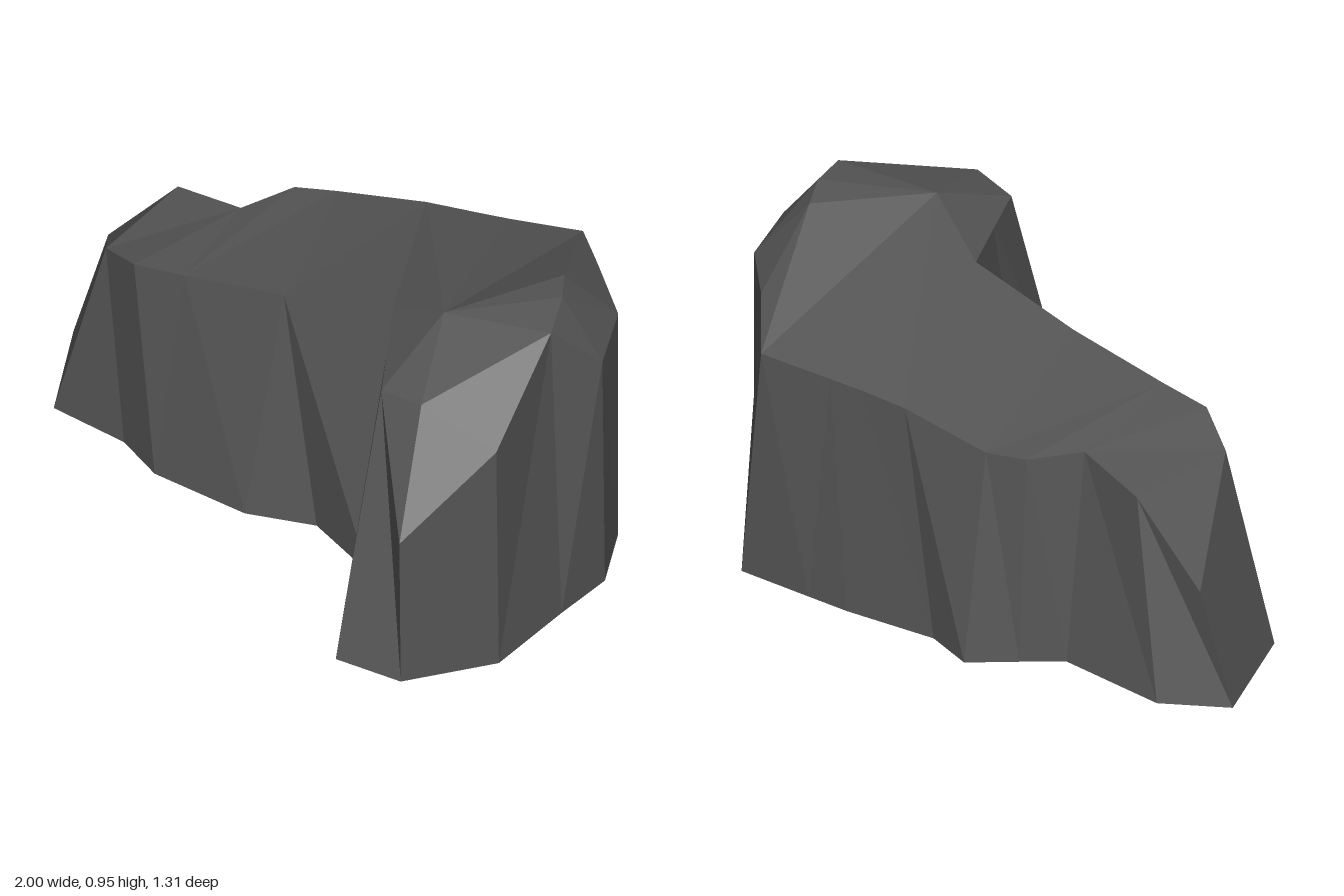
import * as THREE from 'three';

// Foot outline [x, z], counter-clockwise seen from above, starting at the low tip
const FOOT = [
  [-1, .02], [-.78, .33], [-.52, .31], [-.35, .36], [-.03, .32], [.16, .22],
  [.42, .28], [.54, .42], [.65, .65], [.86, .6], [1, .34], [.96, .04],
  [.94, -.16], [.81, -.35], [.6, -.49], [.45, -.66], [.22, -.59], [.09, -.55],
  [-.18, -.44], [-.34, -.45], [-.43, -.32], [-.51, -.21], [-.85, -.14],
];

// Shoulder outline [x, y, z], one point above each foot point
const SHOULDER = [
  [-.91, .36, -.03], [-.64, .6, .26], [-.48, .65, .31], [-.32, .67, .27], [0, .72, .19], [0, .72, .19],
  [.35, .81, .1], [.48, .805, .26], [.6, .8, .41], [.86, .49, .605], [.98, .73, .33], [.88, .93, 0],
  [.94, .78, -.15], [.81, .78, -.35], [.6, .79, -.48], [.41, .73, -.62], [.2, .715, -.53], [.1, .71, -.49],
  [-.04, .7, -.44], [-.31, .65, -.35], [-.41, .65, -.28], [-.46, .64, -.11], [-.7, .6, -.1],
];

// High points of the crown, numbered on from the shoulder
const PEAKS = [[.75, .82, .4], [.58, .92, .13], [.8, .95, -.13], [.72, .94, -.22]];
const [A, B, C, D] = [23, 24, 25, 26];

// Crown facets as triangle fans: first corner, then its rim
const CROWN_FANS = [
  [1, 2, 21, 22, 0], [3, 4, 19, 20, 21, 2], [4, 6, 18, 19],
  [B, 15, 16, 17, 18, 6, 7, 8, A, 11, C, D, 15],
  [A, 8, 9, 10, 11], [C, 11, 12, 13, D], [D, 13, 14, 15],
];

function facetMesh(name, triangles, material) {
  const geometry = new THREE.BufferGeometry();
  geometry.setAttribute('position', new THREE.Float32BufferAttribute(triangles.flat(2), 3));
  geometry.computeVertexNormals();
  const mesh = new THREE.Mesh(geometry, material);
  mesh.name = name;
  return mesh;
}

export function createModel() {
  const stone = new THREE.MeshStandardMaterial({ color: 0x555555 });
  stone.name = 'dark grey stone';
  stone.flatShading = true;

  const foot = FOOT.map(([x, z]) => [x, 0, z]);
  const top = [...SHOULDER, ...PEAKS];

  // Steep sides between foot and shoulder
  const sides = [];
  for (let i = 0; i < foot.length; i++) {
    const j = (i + 1) % foot.length;
    if (i === 10 || i === 11) {
      sides.push([foot[i], foot[j], top[j]], [foot[i], top[j], top[i]]);
    } else {
      sides.push([foot[i], foot[j], top[i]], [foot[j], top[j], top[i]]);
    }
  }

  // Sloping crown
  const crown = [];
  for (const [hub, ...rim] of CROWN_FANS) {
    for (let k = 0; k < rim.length - 1; k++) {
      const [a, b, c] = [top[hub], top[rim[k]], top[rim[k + 1]]];
      // keep every facet facing up
      const up = (b[2] - a[2]) * (c[0] - a[0]) - (b[0] - a[0]) * (c[2] - a[2]);
      crown.push(up > 0 ? [a, b, c] : [a, c, b]);
    }
  }

  // Flat underside
  const outline = FOOT.map(([x, z]) => new THREE.Vector2(x, z));
  const underside = THREE.ShapeUtils.triangulateShape(outline, []).map((face) => {
    const [a, b, c] = face.map((k) => foot[k]);
    const up = (b[2] - a[2]) * (c[0] - a[0]) - (b[0] - a[0]) * (c[2] - a[2]);
    return up > 0 ? [a, c, b] : [a, b, c];
  });

  const group = new THREE.Group();
  group.name = 'rock';
  group.add(
    facetMesh('rockSides', sides, stone),
    facetMesh('rockCrown', crown, stone),
    facetMesh('rockUnderside', underside, stone),
  );
  return group;
}
